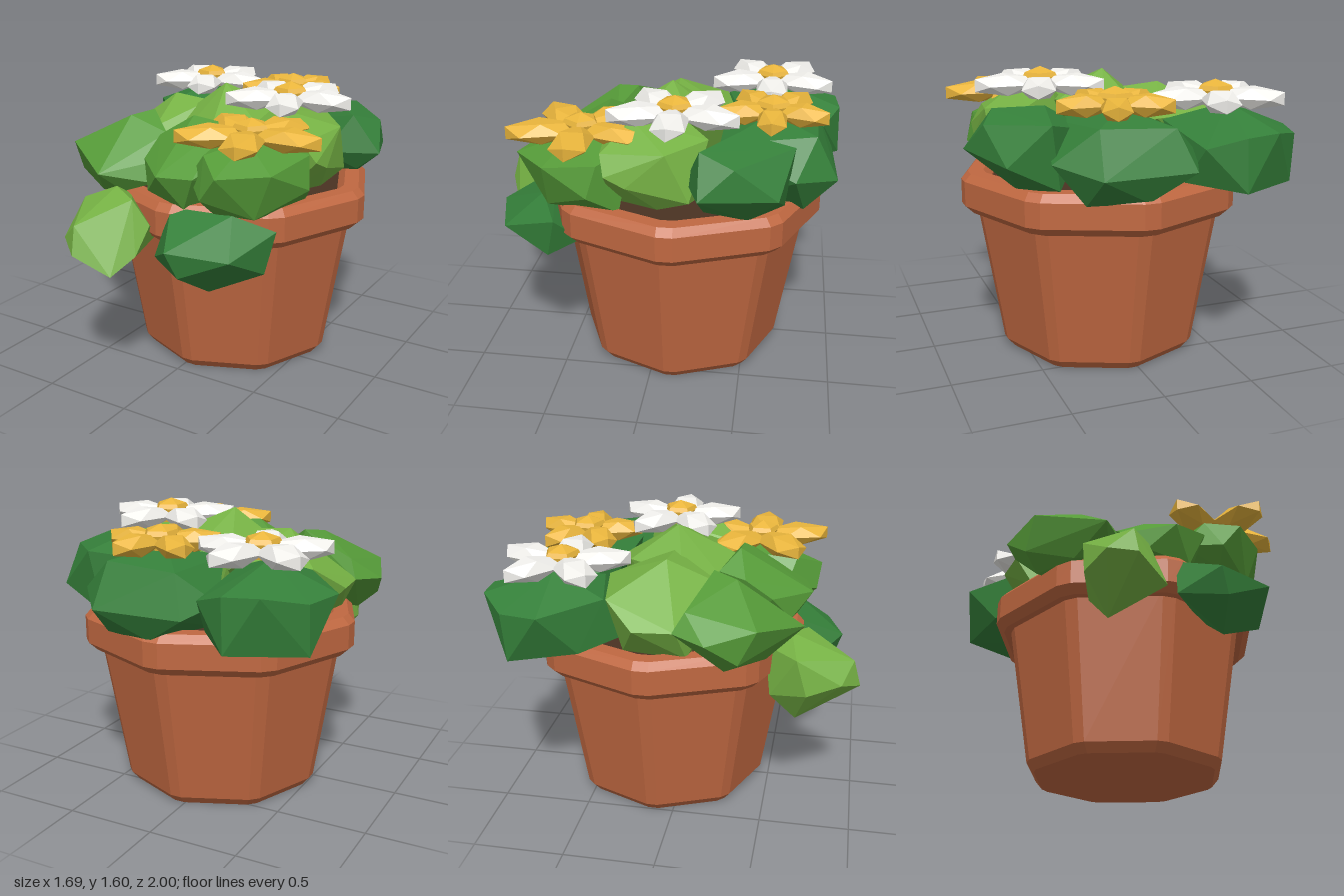
import * as THREE from 'three';
import { ConvexGeometry } from 'three/addons/geometries/ConvexGeometry.js';

const mat = (color) => new THREE.MeshStandardMaterial({ color, flatShading: true, roughness: 0.9 });
const terracotta = mat(0xc06841), white = mat(0xf2f1ed), yellow = mat(0xe9b53c);
const dark = mat(0x35803a), mid = mat(0x559a38), light = mat(0x76b244), soilMat = mat(0x4a3222);

function addMesh(parent, name, geometry, material) {
  const mesh = new THREE.Mesh(geometry, material);
  mesh.name = name;
  parent.add(mesh);
  return mesh;
}

// Faceted leaf clump: the hull around a few corner points.
function clump(parent, name, material, points) {
  addMesh(parent, name, new ConvexGeometry(points.map((p) => new THREE.Vector3(...p))), material);
}

// Octagonal lathe whose eight corners are cut by a narrow facet.
function octagonLathe(profile) {
  const n = 16, pos = [], idx = [], cut = 0.055;
  for (const [r, y] of profile) {
    for (let i = 0; i < n; i++) {
      const a = Math.floor(i / 2) * Math.PI / 4 + (i % 2 ? cut : -cut);
      pos.push(r * Math.cos(a), y, r * Math.sin(a));
    }
  }
  for (let j = 0; j < profile.length - 1; j++) {
    for (let i = 0; i < n; i++) {
      const a = j * n + i, b = j * n + (i + 1) % n;
      idx.push(a, a + n, b, b, a + n, b + n);
    }
  }
  const g = new THREE.BufferGeometry();
  g.setAttribute('position', new THREE.Float32BufferAttribute(pos, 3));
  g.setIndex(idx);
  const flat = g.toNonIndexed();
  flat.computeVertexNormals();
  return flat;
}

// Five stretched icosahedron petals around a bevelled five-sided button.
function flower(parent, name, material, [x, y, z], radius) {
  const group = new THREE.Group();
  group.name = name;
  group.position.set(x, y, z);
  const petal = new THREE.IcosahedronGeometry(1 / 0.8507, 0).rotateX(Math.PI / 2);
  petal.scale(0.46 * radius, 0.055, 0.245 * radius).translate(0.54 * radius, 0, 0);
  for (let i = 0; i < 5; i++) addMesh(group, 'petal', petal, material).rotation.y = i * Math.PI * 2 / 5;
  const button = new THREE.LatheGeometry(
    [[0, -0.05], [0.08, -0.04], [0.1, 0.035], [0.085, 0.06], [0, 0.09]].map((p) => new THREE.Vector2(...p)), 5);
  addMesh(group, 'flowerCentre', button, yellow).rotation.y = 0.3;
  parent.add(group);
}

export function createModel() {
  const model = new THREE.Group();
  model.name = 'pottedFlowers';

  // Pot body, rim and soil
  const pot = new THREE.Group();
  pot.name = 'pot';
  pot.position.set(0.035, 0, -0.115);
  addMesh(pot, 'potBody', octagonLathe([[0, 0], [0.525, 0], [0.567, 0.05], [0.7, 0.86]]), terracotta);
  addMesh(pot, 'potRim', octagonLathe([
    [0.66, 0.82], [0.735, 0.82], [0.782, 0.865], [0.782, 1.0], [0.745, 1.04],
    [0.66, 1.04], [0.62, 1.0], [0.61, 0.9]]), terracotta);
  addMesh(pot, 'soil', octagonLathe([[0.64, 0.99], [0, 1.0]]), soilMat);
  model.add(pot);

  const leaves = new THREE.Group();
  leaves.name = 'leaves';
  model.add(leaves);

  // Leaves hanging over the front of the rim
  clump(leaves, 'trailingLeafRight', light, [
    [-0.34, 0.59, 0.66], [-0.49, 0.8, 0.72], [-0.48, 1, 0.66], [-0.29, 1.08, 0.62], [-0.13, 1.05, 0.7],
    [-0.05, 0.91, 0.66], [-0.06, 0.77, 0.78], [-0.12, 0.69, 0.92], [-0.3, 0.8, 1], [-0.31, 0.95, 0.96],
    [-0.43, 0.85, 0.9], [-0.4, 0.75, 0.52], [-0.12, 0.8, 0.5], [-0.3, 1, 0.48]]);
  clump(leaves, 'trailingLeafLeft', dark, [
    [0.06, 1.02, 0.62], [0.42, 1.03, 0.6], [0.62, 0.95, 0.5], [0.58, 0.73, 0.55], [0.31, 0.61, 0.65],
    [0.02, 0.77, 0.72], [0.2, 0.88, 0.89], [0.52, 0.86, 0.8], [0.25, 0.74, 0.85], [0.3, 0.8, 0.4], [0.5, 0.8, 0.38]]);

  // Front leaves
  clump(leaves, 'frontLeafRight', mid, [
    [-0.7, 1.2, 0.04], [-0.79, 1.18, 0.22], [-0.7, 1.24, 0.47], [-0.72, 1.06, 0.38], [-0.63, 0.98, 0.3],
    [-0.48, 1, 0.5], [-0.36, 1.15, 0.69], [-0.15, 1.08, 0.48], [-0.18, 1.32, 0.3], [-0.12, 1.2, 0.38],
    [-0.33, 1.42, 0.2], [-0.4, 1.4, 0.33], [-0.65, 1.3, 0.1], [-0.3, 1.03, 0.55], [-0.3, 1.05, 0.1]]);
  clump(leaves, 'frontLeafCentre', mid, [
    [-0.19, 1.32, 0.35], [-0.19, 1.22, 0.5], [0.03, 1.2, 0.71], [-0.1, 1.08, 0.6], [0.14, 1.02, 0.62],
    [0.22, 1.2, 0.66], [0.32, 1.3, 0.4], [0, 1.44, 0.3], [0.2, 1.42, 0.3], [-0.15, 1.35, 0.2],
    [0.3, 1.05, 0.2], [-0.1, 1, 0.3]]);
  clump(leaves, 'frontLeafLeft', mid, [
    [0.13, 1.18, 0.55], [0.32, 1.03, 0.62], [0.52, 1.01, 0.55], [0.7, 1.13, 0.3], [0.67, 1.3, 0.25],
    [0.61, 1.25, 0.55], [0.4, 1.25, 0.74], [0.3, 1.12, 0.72], [0.25, 1.32, 0.6], [0.4, 1.38, 0.42],
    [0.2, 1.35, 0.3], [0.6, 1.02, 0.15], [0.2, 1, 0.2], [0.5, 1.35, 0.1]]);

  // Middle leaves
  clump(leaves, 'middleLeafRight', light, [
    [-0.72, 1.2, -0.16], [-0.7, 1.2, 0.06], [-0.6, 1.32, -0.32], [-0.2, 1.32, -0.4], [-0.35, 1.47, -0.05],
    [-0.12, 1.45, -0.05], [-0.3, 1.33, 0.24], [-0.6, 1.02, 0.1], [-0.55, 1.02, -0.25], [0, 1.2, -0.2], [-0.1, 1.1, 0.2]]);
  clump(leaves, 'middleLeafCentre', light, [
    [-0.01, 1.56, -0.05], [-0.27, 1.36, 0.02], [-0.12, 1.38, -0.3], [0.1, 1.32, -0.42], [0.3, 1.42, -0.2],
    [0.32, 1.38, 0.15], [0.1, 1.36, 0.3], [-0.15, 1.27, 0.25], [0, 1, -0.3], [0.2, 1, 0.2], [-0.2, 1, 0]]);
  clump(leaves, 'middleLeafLeft', light, [
    [0.7, 1.2, 0.1], [0.69, 1.25, 0.21], [0.66, 1.12, -0.22], [0.68, 1.38, -0.1], [0.5, 1.41, -0.3],
    [0.3, 1.47, -0.12], [0.45, 1.48, 0.1], [0.3, 1.38, 0.26], [0.62, 1.35, 0.24], [0.1, 1.25, 0],
    [0.5, 1.05, 0.2], [0.3, 1.05, -0.3], [0.6, 1.05, -0.05]]);

  // Back leaves
  clump(leaves, 'backLeafRight', dark, [
    [-0.85, 1.29, -0.61], [-0.79, 1.02, -0.8], [-0.79, 1.28, -0.82], [-0.61, 1.32, -0.97], [-0.43, 1.03, -1],
    [-0.42, 1.31, -0.99], [-0.24, 1.25, -0.9], [-0.2, 1.05, -0.75], [-0.22, 1.32, -0.42], [-0.48, 1.1, -0.21],
    [-0.7, 1.05, -0.45], [-0.6, 1.32, -0.33], [-0.5, 1.43, -0.62], [-0.5, 0.98, -0.6]]);
  clump(leaves, 'backLeafCentre', dark, [
    [-0.27, 1.2, -0.74], [-0.18, 1.15, -0.95], [-0.1, 1.36, -0.86], [0.32, 1.15, -0.97], [0.05, 1, -0.88],
    [0.3, 1.38, -0.85], [0.51, 1.2, -0.75], [0.35, 0.99, -0.8], [-0.1, 1.35, -0.35], [0.4, 1.35, -0.35],
    [0.1, 1.43, -0.6], [-0.1, 1, -0.5], [0.3, 1, -0.4]]);
  clump(leaves, 'backLeafLeft', dark, [
    [0.84, 1.21, -0.28], [0.77, 1.36, -0.45], [0.71, 1.18, -0.67], [0.5, 1.39, -0.74], [0.45, 1.05, -0.7],
    [0.62, 1.03, -0.52], [0.7, 1.1, -0.3], [0.68, 1.41, -0.27], [0.55, 1.2, -0.19], [0.22, 1.3, -0.45],
    [0.3, 1.05, -0.3], [0.45, 1.44, -0.45]]);

  // Flowers
  flower(model, 'whiteFlowerBack', white, [-0.44, 1.46, -0.59], 0.36);
  flower(model, 'whiteFlowerSide', white, [0.37, 1.505, -0.11], 0.36);
  flower(model, 'yellowFlowerBack', yellow, [0.13, 1.455, -0.61], 0.31);
  flower(model, 'yellowFlowerFront', yellow, [0.4, 1.4, 0.38], 0.395);
  return model;
}
